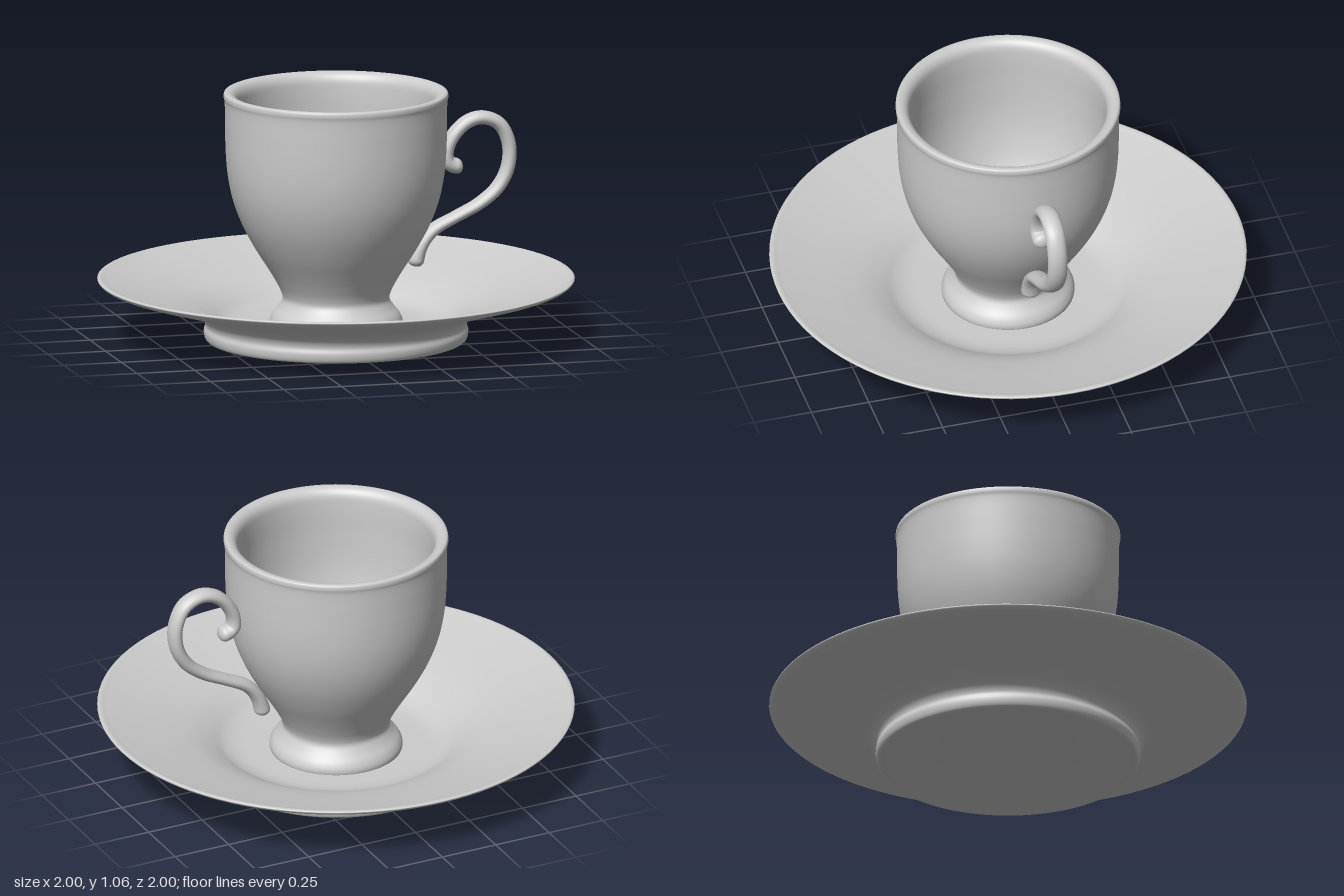
import * as THREE from 'three';
import { mergeVertices } from 'three/addons/utils/BufferGeometryUtils.js';

const material = new THREE.MeshStandardMaterial({ color: 0xcccccc });

// Turns a smooth closed profile of [radius, height] pairs, going up the outside and down the inside.
function turned(name, profile) {
  const curve = new THREE.CatmullRomCurve3(
    profile.map(([r, y]) => new THREE.Vector3(r, y, 0)), false, 'centripetal');
  const points = curve.getPoints(profile.length * 5)
    .map((p) => new THREE.Vector2(Math.max(p.x, 0), p.y));
  const mesh = new THREE.Mesh(new THREE.LatheGeometry(points, 96), material);
  mesh.name = name;
  return mesh;
}

function createSaucer() {
  return turned('saucer', [
    // recessed underside and foot ring
    [0, 0.04], [0.2, 0.04], [0.31, 0.04], [0.335, 0.045], [0.36, 0.04],
    [0.43, 0.026], [0.49, 0.01], [0.52, 0.004], [0.543, 0.007],
    [0.551, 0.02], [0.554, 0.045], [0.548, 0.07],
    // flared underside
    [0.558, 0.097], [0.585, 0.122], [0.63, 0.142], [0.72, 0.17], [0.86, 0.21], [0.97, 0.243],
    // rim
    [0.992, 0.254], [1, 0.265], [0.99, 0.27],
    // upper face and well
    [0.96, 0.262], [0.85, 0.232], [0.7, 0.192], [0.6, 0.16], [0.53, 0.127],
    [0.47, 0.092], [0.41, 0.075], [0.3, 0.07], [0.15, 0.07], [0, 0.07],
  ]);
}

function createCup() {
  return turned('cup', [
    // foot
    [0, 0.09], [0.18, 0.085], [0.22, 0.06], [0.25, 0.052], [0.273, 0.062], [0.279, 0.085],
    [0.268, 0.115], [0.24, 0.15], [0.224, 0.18], [0.23, 0.21],
    // outer wall
    [0.255, 0.26], [0.285, 0.31], [0.342, 0.4], [0.395, 0.5], [0.432, 0.6],
    [0.453, 0.7], [0.462, 0.8], [0.465, 0.92], [0.467, 1.02],
    // lip
    [0.471, 1.04], [0.468, 1.056], [0.455, 1.06], [0.432, 1.052], [0.416, 1.03],
    // inner wall and floor
    [0.41, 0.98], [0.408, 0.85], [0.4, 0.7], [0.378, 0.58], [0.34, 0.47],
    [0.28, 0.365], [0.21, 0.275], [0.165, 0.238], [0.135, 0.23], [0.07, 0.23], [0, 0.23],
  ]);
}

// Scrolled handle: a flattened tube with swollen, rounded ends.
function createHandle() {
  const path = new THREE.CatmullRomCurve3([
    [0.55, 0.718], [0.515, 0.718], [0.484, 0.74], [0.482, 0.79], [0.516, 0.856], [0.575, 0.905],
    [0.64, 0.917], [0.71, 0.885], [0.75, 0.8], [0.745, 0.7], [0.7, 0.615], [0.62, 0.55],
    [0.52, 0.5], [0.42, 0.447], [0.372, 0.39], [0.35, 0.335], [0.343, 0.295],
  ].map(([x, y]) => new THREE.Vector3(x, y, 0)), false, 'centripetal');
  const rings = 200, sides = 20, length = path.getLength();
  const geometry = new THREE.TubeGeometry(path, rings, 1, sides);
  const position = geometry.attributes.position;
  const offset = new THREE.Vector3();
  for (let i = 0; i <= rings; i++) {
    const t = i / rings, centre = path.getPointAt(t);
    const end = Math.min(t, 1 - t) * length;
    const cap = Math.sqrt(Math.max(0, 1 - Math.max(0, 1 - end / 0.03) ** 2));
    const swell = 0.006 * Math.exp(-((end / 0.07) ** 2));
    const slim = 0.004 * Math.exp(-(((t - 0.75) / 0.12) ** 2));
    const thick = (0.029 + swell - slim) * cap, wide = 0.042 * cap;
    for (let j = 0; j <= sides; j++) {
      const k = i * (sides + 1) + j;
      offset.fromBufferAttribute(position, k).sub(centre);
      position.setXYZ(k, centre.x + offset.x * thick, centre.y + offset.y * thick, offset.z * wide);
    }
  }
  geometry.deleteAttribute('uv');
  geometry.deleteAttribute('normal');
  const smooth = mergeVertices(geometry, 1e-5);
  smooth.computeVertexNormals();
  const mesh = new THREE.Mesh(smooth, material);
  mesh.name = 'handle';
  return mesh;
}

export function createModel() {
  const group = new THREE.Group();
  group.name = 'cupAndSaucer';
  group.add(createSaucer(), createCup(), createHandle());
  return group;
}
